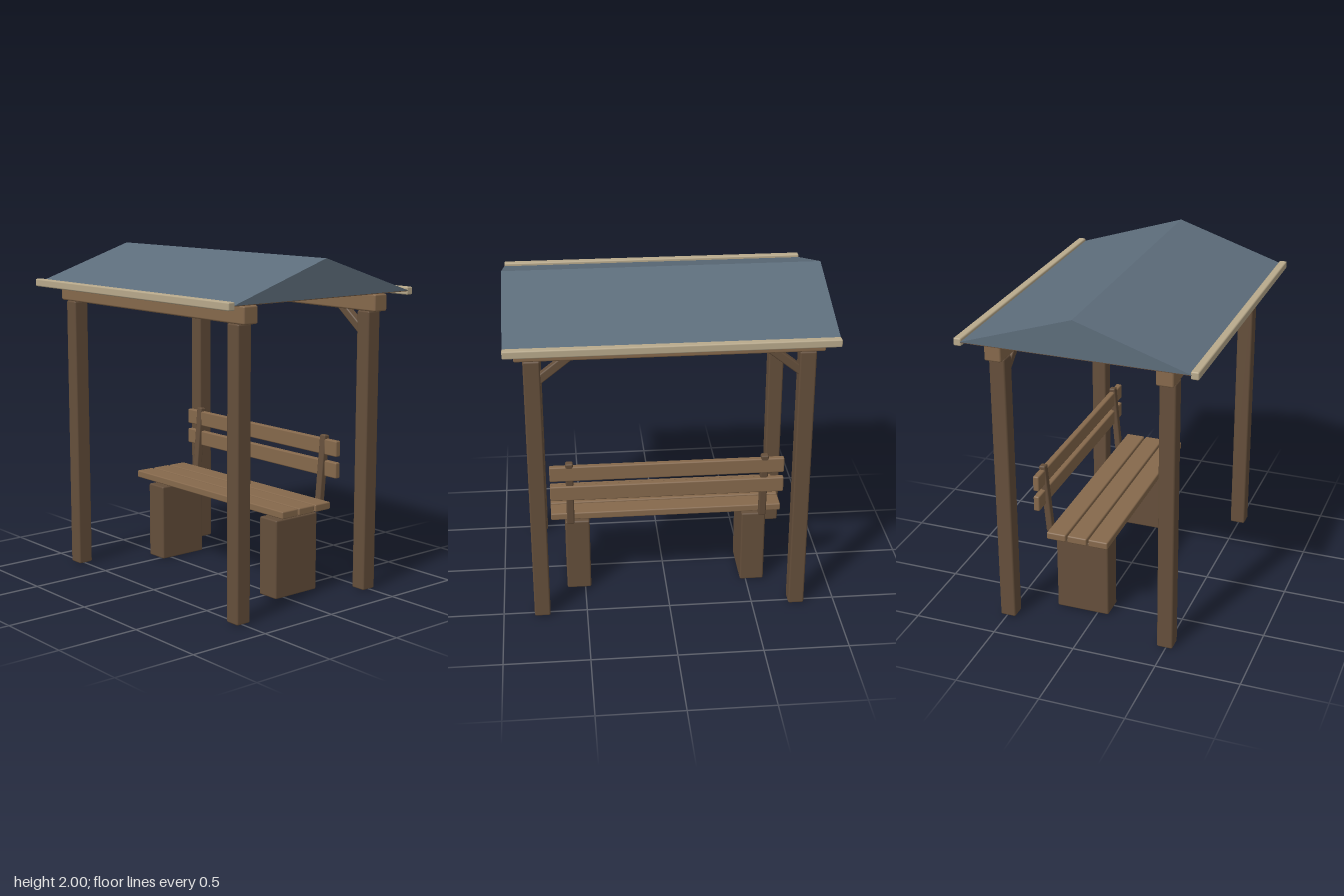
import * as THREE from 'three';
import { RoundedBoxGeometry } from 'three/addons/geometries/RoundedBoxGeometry.js';

export function createModel() {
  const model = new THREE.Group();
  model.name = 'benchShelter';

  const material = (name, color) => {
    const m = new THREE.MeshStandardMaterial({ color });
    m.name = name;
    return m;
  };
  const darkWood = material('dark wood', 0x654f3b);
  const lightWood = material('light wood', 0x86694c);
  const trim = material('pale trim', 0xb9aa8c);
  const slate = material('slate blue', 0x5d6d7b);

  // Timber with softened edges, given by its size and centre
  const timber = (name, mat, [w, h, d], [x, y, z], bevel = 0.01) => {
    const mesh = new THREE.Mesh(new RoundedBoxGeometry(w, h, d, 1, bevel), mat);
    mesh.name = name;
    mesh.position.set(x, y, z);
    model.add(mesh);
    return mesh;
  };

  // Frame: four posts, two beams and the eave trims
  for (const z of [-1, 1]) {
    for (const x of [-1, 1]) {
      timber('post', darkWood, [0.095, 1.67, 0.095], [x * 0.768, 0.835, z * 0.493]);
    }
    timber('beam', lightWood, [1.73, 0.1, 0.1], [0, 1.72, z * 0.493]);
    timber('eaveTrim', trim, [1.84, 0.046, 0.046], [0, 1.782, z * 0.673], 0.008);
  }

  // Diagonal braces under the rear beam
  for (const side of [-1, 1]) {
    const brace = timber('brace', darkWood, [0.29, 0.05, 0.05], [side * 0.658, 1.604, -0.493], 0.008);
    brace.rotation.z = -side * 0.67;
  }

  // Solid gabled roof: a triangular prism along x
  const gable = new THREE.Shape([
    new THREE.Vector2(-0.66, 1.785),
    new THREE.Vector2(0.66, 1.785),
    new THREE.Vector2(0, 2),
  ]);
  const roofGeometry = new THREE.ExtrudeGeometry(gable, { depth: 1.84, bevelEnabled: false });
  roofGeometry.translate(0, 0, -0.92).rotateY(Math.PI / 2);
  const roof = new THREE.Mesh(roofGeometry, slate);
  roof.name = 'roof';
  model.add(roof);

  // Wooden ceiling under the roof
  const ceiling = new THREE.Mesh(new THREE.BoxGeometry(1.838, 0.004, 1.31), darkWood);
  ceiling.name = 'ceiling';
  ceiling.position.y = 1.783;
  model.add(ceiling);

  // Bench: seat slats, back slats, block legs and leaning uprights
  for (const z of [0.04, -0.09, -0.22]) {
    timber('seatSlat', lightWood, [1.39, 0.045, 0.12], [0, 0.528, z], 0.008);
  }
  for (const y of [0.728, 0.858]) {
    timber('backSlat', lightWood, [1.39, 0.095, 0.037], [0, y, -0.338], 0.008);
  }
  for (const side of [-1, 1]) {
    timber('benchLeg', darkWood, [0.147, 0.475, 0.325], [side * 0.537, 0.238, -0.092]);
    const upright = timber('backUpright', darkWood, [0.045, 0.43, 0.04], [side * 0.578, 0.713, -0.32], 0.008);
    upright.rotation.x = -0.09;
  }

  return model;
}
